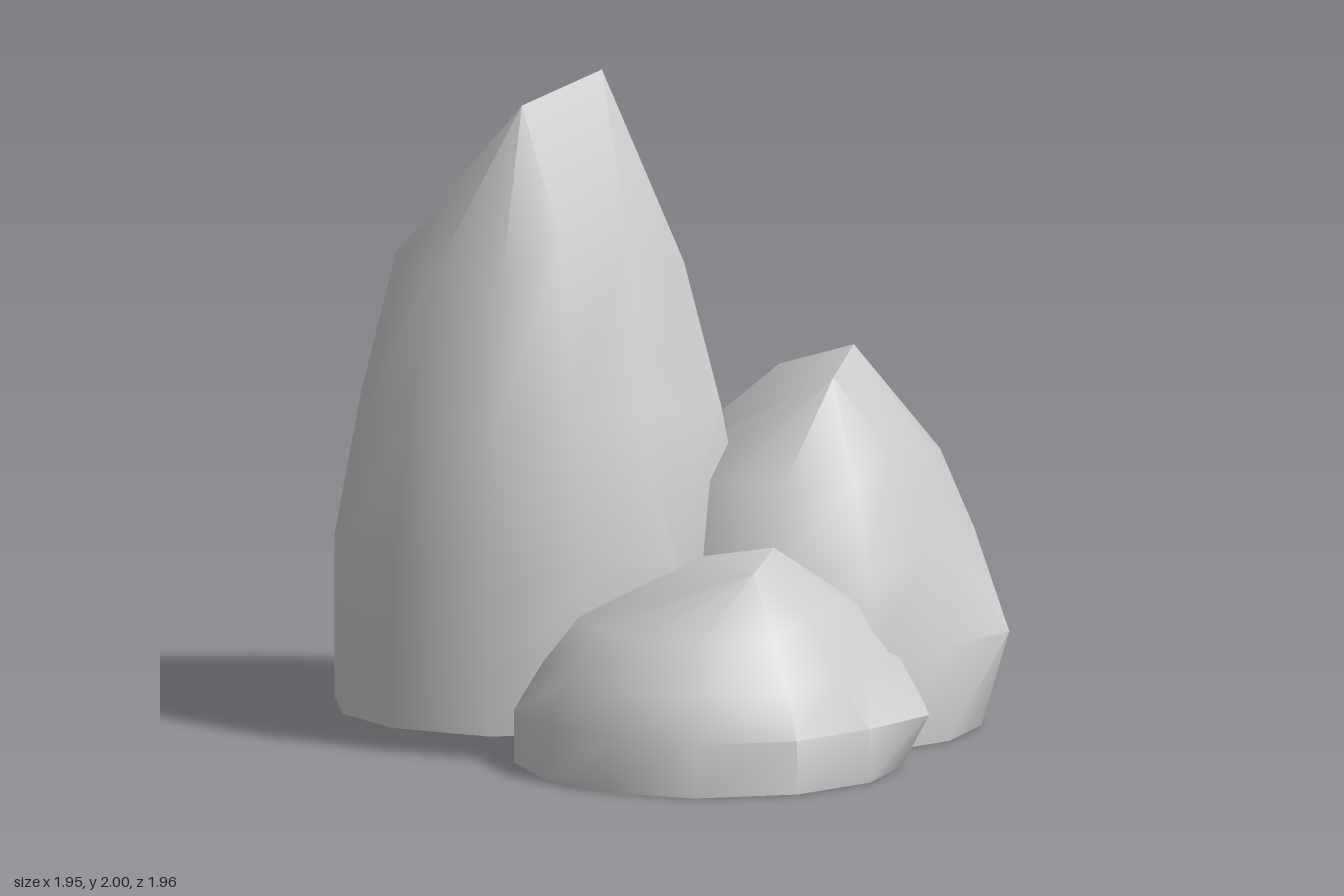
import * as THREE from 'three';
import { toCreasedNormals } from 'three/addons/utils/BufferGeometryUtils.js';

// Widest outline of the boulder and its shoulder outline, as [x, z]
const belly = [[.61, -.07], [.52, .21], [.38, .46], [.11, .625], [-.16, .625], [-.41, .49],
  [-.59, .27], [-.61, -.19], [-.44, -.53], [-.14, -.62], [.12, -.56], [.45, -.43]];
const shoulder = [[.34, -.07], [.31, .15], [.26, .33], [.08, .46], [-.12, .45], [-.29, .35],
  [-.41, .2], [-.42, -.13], [-.3, -.36], [-.1, -.44], [.09, -.4], [.31, -.29]];
// How far the foot is tucked in below the belly, at each corner
const tuck = [.86, 1, 1, 1, 1, 1, 1, 1, .92, .86, .86, .86];
// Three crest points, and the one each shoulder corner rises to
const crest = [[.09, 1.12, -.14], [.14, 1.08, .18], [-.14, 1.05, -.12]];
const risesTo = [0, 1, 1, 1, 1, 1, 2, 2, 2, 2, 0, 0];

function boulderGeometry() {
  const n = belly.length, pos = [], index = [];
  belly.forEach(([x, z], i) => pos.push(x * tuck[i], 0, z * tuck[i]));
  belly.forEach(([x, z]) => pos.push(x, .29, z));
  belly.forEach(([x, z], i) => {
    const t = i === 0 ? .7 : i === 1 ? .5 : .43;
    pos.push(THREE.MathUtils.lerp(x, shoulder[i][0], t), .54, THREE.MathUtils.lerp(z, shoulder[i][1], t));
  });
  shoulder.forEach(([x, z], i) => pos.push(x, i < 2 ? .85 : .79, z));
  crest.forEach((p) => pos.push(...p));

  // Vertex of row r, column i; the last row collapses to the crest
  const at = (r, i) => (r < 4 ? r * n + (i % n) : 4 * n + risesTo[i % n]);
  for (let r = 0; r < 4; r++) {
    for (let i = 0; i < n; i++) {
      const a = at(r, i), b = at(r, i + 1), c = at(r + 1, i), d = at(r + 1, i + 1);
      index.push(a, c, b);
      if (c !== d) index.push(b, c, d);
    }
  }
  index.push(4 * n, 4 * n + 2, 4 * n + 1);

  const geo = new THREE.BufferGeometry();
  geo.setAttribute('position', new THREE.Float32BufferAttribute(pos, 3));
  geo.setIndex(index);
  return geo;
}

export function createModel() {
  const group = new THREE.Group();
  group.name = 'rockCluster';
  // Open underneath, so both sides show
  const stone = new THREE.MeshStandardMaterial({ color: 0xcccccc, side: THREE.DoubleSide });

  // One boulder, stretched and turned three ways
  const addRock = (name, height, turn, x, y, z) => {
    const geo = boulderGeometry().scale(1, height, 1);
    const rock = new THREE.Mesh(toCreasedNormals(geo, .75), stone);
    rock.name = name;
    rock.rotation.y = turn;
    rock.position.set(x, y, z);
    group.add(rock);
  };
  addRock('tallRock', 1.72, -.645, -.35, .07, 0);
  addRock('middleRock', 1, 0, .36, 0, -.36);
  addRock('lowRock', .56, 0, .36, 0, .35);
  return group;
}
